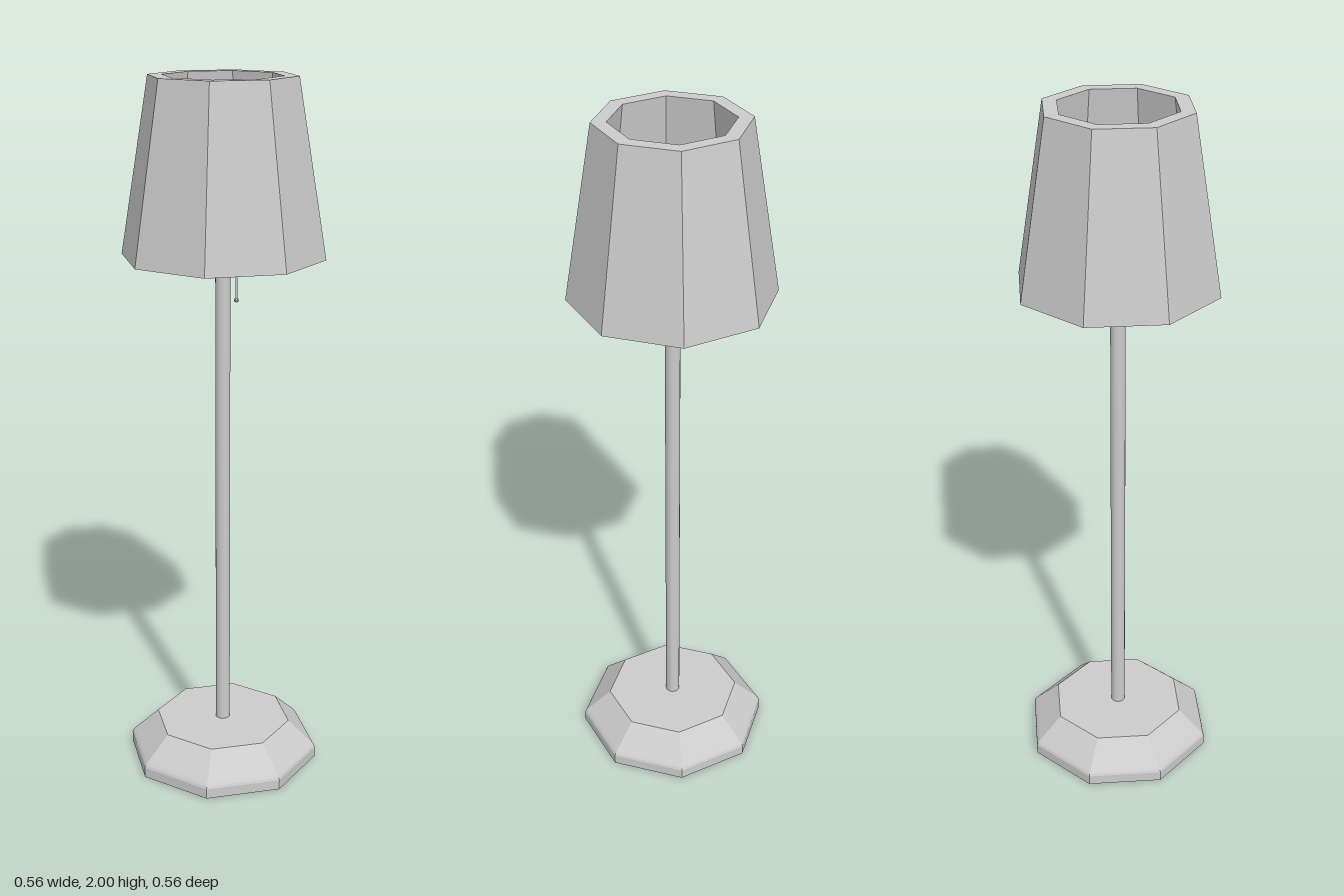
import * as THREE from 'three';

const flat = new THREE.MeshStandardMaterial({ color: 0xcccccc, flatShading: true });
const smooth = new THREE.MeshStandardMaterial({ color: 0xcccccc });

// Revolved profile of [radius, height] pairs
function lathe(name, profile, sides = 8) {
  const points = profile.map(([r, y]) => new THREE.Vector2(r, y));
  const mesh = new THREE.Mesh(new THREE.LatheGeometry(points, sides), flat);
  mesh.name = name;
  return mesh;
}

// Upright rod between two heights
function rod(name, radius, y0, y1, sides, x = 0) {
  const mesh = new THREE.Mesh(new THREE.CylinderGeometry(radius, radius, y1 - y0, sides), smooth);
  mesh.position.set(x, (y0 + y1) / 2, 0);
  mesh.name = name;
  return mesh;
}

export function createModel() {
  const lamp = new THREE.Group();
  lamp.name = 'floorLamp';

  // Octagonal foot with a softened shoulder
  lamp.add(lathe('base', [
    [0, 0], [0.282, 0], [0.282, 0.03], [0.279, 0.037], [0.273, 0.044], [0.2, 0.113], [0, 0.113],
  ]));

  // Slender post ending inside the shade
  lamp.add(rod('post', 0.021, 0.1, 1.72, 16));

  // Thick-walled octagonal shade, open at both ends
  lamp.add(lathe('shade', [
    [0.282, 1.52], [0.202, 2], [0.162, 2], [0.226, 1.52], [0.282, 1.52],
  ]));

  // Pull cord with a small end bead
  lamp.add(rod('pullCord', 0.003, 1.41, 1.72, 6, 0.063));
  const bead = new THREE.Mesh(new THREE.SphereGeometry(0.007, 6, 4), flat);
  bead.position.set(0.063, 1.412, 0);
  bead.name = 'cordBead';
  lamp.add(bead);

  return lamp;
}
